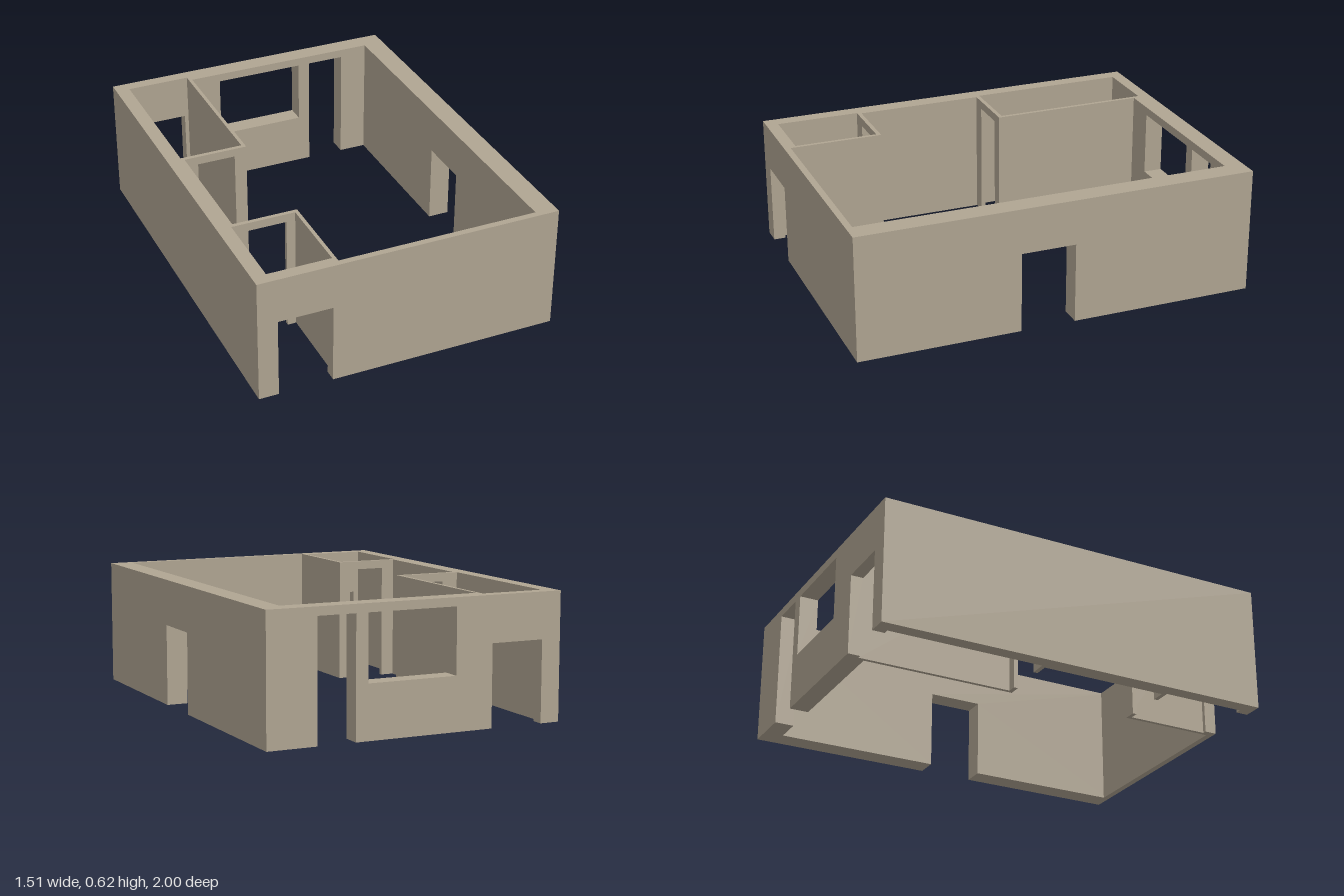
import * as THREE from 'three';

const HEIGHT = 0.625;
const LOW = 0.4;    // top of the outer doors
const HIGH = 0.583; // top of the inner doors and the window

// Wall elevation: doors are notches from the ground, windows are holes.
function elevation(a, b, doors, windows) {
  const s = new THREE.Shape();
  s.moveTo(a, 0);
  for (const [d0, d1, top] of doors) {
    s.lineTo(d0, 0);
    s.lineTo(d0, top);
    s.lineTo(d1, top);
    s.lineTo(d1, 0);
  }
  s.lineTo(b, 0);
  s.lineTo(b, HEIGHT);
  s.lineTo(a, HEIGHT);
  s.closePath();
  for (const [w0, w1, y0, y1] of windows) {
    const h = new THREE.Path();
    h.moveTo(w0, y0);
    h.lineTo(w0, y1);
    h.lineTo(w1, y1);
    h.lineTo(w1, y0);
    h.closePath();
    s.holes.push(h);
  }
  return s;
}

export function createModel() {
  const group = new THREE.Group();
  group.name = 'floorPlan';
  const plaster = new THREE.MeshStandardMaterial({ color: 0xb0a592 });
  plaster.name = 'plaster';

  function add(name, geometry) {
    const mesh = new THREE.Mesh(geometry, plaster);
    mesh.name = name;
    group.add(mesh);
  }
  // Wall running along x
  function wallX(name, x0, x1, z0, z1, doors = [], windows = []) {
    const g = new THREE.ExtrudeGeometry(elevation(x0, x1, doors, windows),
      { depth: z1 - z0, bevelEnabled: false });
    add(name, g.translate(0, 0, z0));
  }
  // Wall running along z
  function wallZ(name, x0, x1, z0, z1, doors = []) {
    const g = new THREE.ExtrudeGeometry(elevation(z0, z1, doors, []),
      { depth: x1 - x0, bevelEnabled: false });
    add(name, g.rotateY(-Math.PI / 2).translate(x1, 0, 0));
  }

  const outerDoor = [-0.657, -0.388, LOW];
  const roomDoor = [-0.603, -0.412, HIGH];

  // Outer side walls
  wallZ('rightSideWall', -0.755, -0.685, -1, 1);
  wallZ('rightSideWallThickening', -0.685, -0.672, -0.138, 0.499);
  wallZ('leftSideWall', 0.648, 0.755, -1, 1, [[-0.08, 0.193, LOW]]);

  // Front wall, thicker beside the small room
  wallX('frontWall', -0.35, 0.648, 0.968, 1);
  wallX('frontEntranceWall', -0.685, -0.35, 0.939, 1, [outerDoor]);

  // Back wall with window and tall door
  wallX('backWall', -0.35, 0.648, -1, -0.905,
    [[0.317, 0.508, HIGH]], [[-0.197, 0.256, 0.263, HIGH]]);
  wallX('backEntranceWall', -0.685, -0.35, -1, -0.939, [outerDoor]);

  // Partitions around the two small rooms
  wallZ('frontRoomPartition', -0.368, -0.35, 0.499, 0.939);
  wallX('frontRoomDoorWall', -0.685, -0.368, 0.499, 0.52, [roomDoor]);
  wallZ('backRoomPartition', -0.368, -0.35, -0.939, -0.138);
  wallX('backRoomDoorWall', -0.685, -0.368, -0.159, -0.138, [roomDoor]);

  return group;
}
